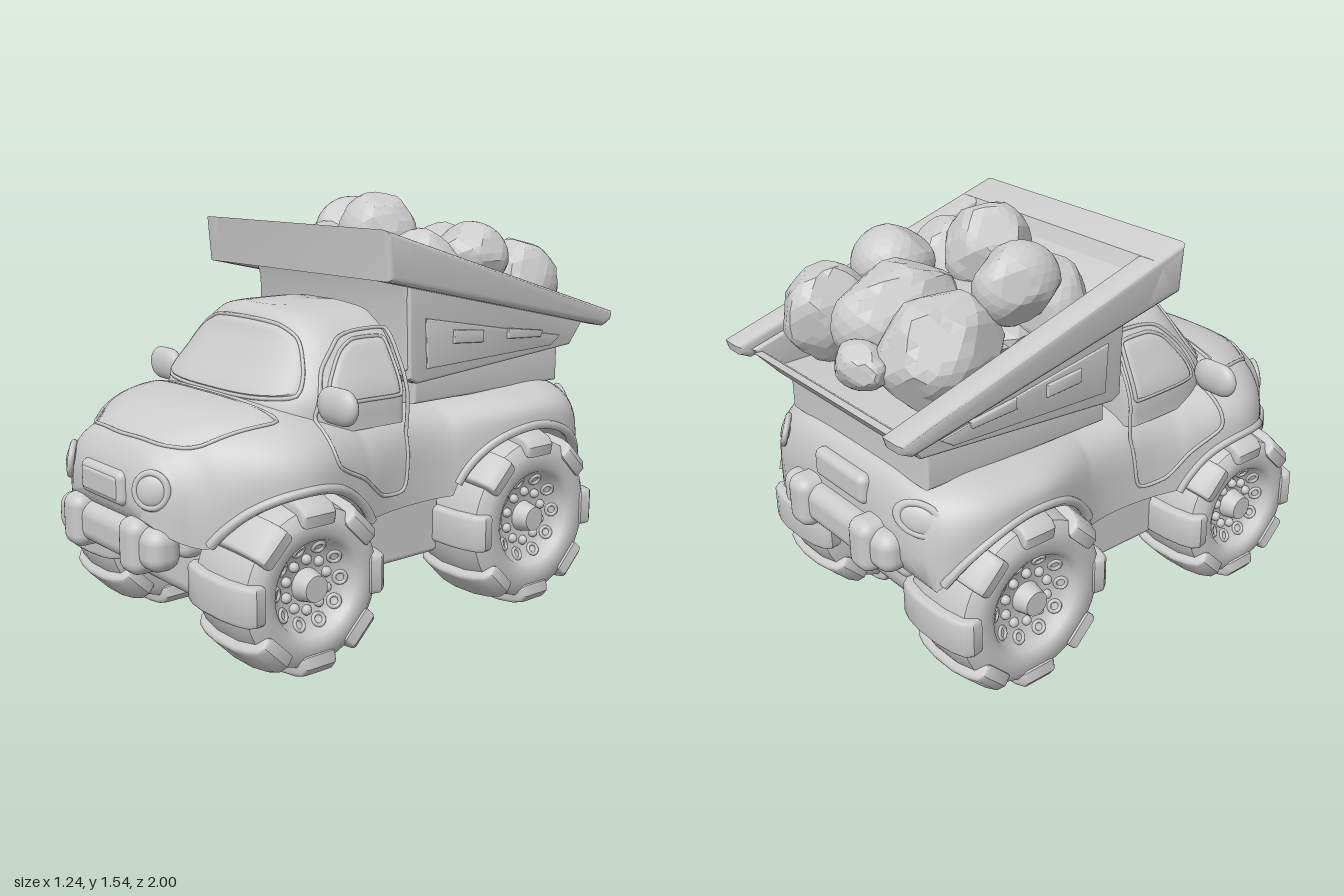
import * as THREE from 'three';
import { toCreasedNormals } from 'three/addons/utils/BufferGeometryUtils.js';
import { RoundedBoxGeometry } from 'three/addons/geometries/RoundedBoxGeometry.js';
import { ParametricGeometry } from 'three/addons/geometries/ParametricGeometry.js';

const grey = new THREE.MeshStandardMaterial({ color: 0xcccccc });
const thin = new THREE.MeshStandardMaterial({ color: 0xcccccc, side: THREE.DoubleSide });
const faceted = new THREE.MeshStandardMaterial({ color: 0xcccccc, flatShading: true });
const V = (x, y, z) => new THREE.Vector3(x, y, z);
const vec2 = pts => pts.map(p => new THREE.Vector2(...p));
const spow = (v, p) => Math.sign(v) * Math.abs(v) ** p;
const rbox = (w, h, d, r) => new RoundedBoxGeometry(w, h, d, 4, r);
const tube = (pts, r, closed) => new THREE.TubeGeometry(new THREE.CatmullRomCurve3(pts, closed), 96, r, 6, closed);
const surface = (nu, nv, f) => toCreasedNormals(new ParametricGeometry((u, v, p) => p.copy(f(u, v)), nu, nv), 0.7);

// Adds a mesh, or a group when there is no geometry
function add(parent, name, geo, x = 0, y = 0, z = 0, mat = grey) {
  const m = geo ? new THREE.Mesh(geo, mat) : new THREE.Group();
  m.name = name;
  m.position.set(x, y, z);
  parent.add(m);
  return m;
}

// Smooth lookup in a table of rows sorted by their first column
function table(rows) {
  const c = new THREE.CubicInterpolant(rows.map(r => r[0]), rows.flatMap(r => r.slice(1)), rows[0].length - 1);
  return k => c.evaluate(k);
}
const WHEELS = [[0.52, 0.316, 0.31], [-0.52, 0.35, 0.34]]; // z, y, radius
// Body stations: z, half width, bottom, top, roundness
const body = table([[-0.885, 0.4, 0.56, 0.72, 0.5], [-0.86, 0.47, 0.5, 0.8, 0.5], [-0.8, 0.53, 0.48, 0.835, 0.52],
  [-0.5, 0.575, 0.48, 0.84, 0.55], [-0.12, 0.48, 0.48, 0.83, 0.42], [0.1, 0.49, 0.48, 0.85, 0.45],
  [0.3, 0.54, 0.48, 0.87, 0.65], [0.55, 0.575, 0.48, 0.89, 0.78], [0.75, 0.46, 0.46, 0.86, 0.72],
  [0.85, 0.37, 0.47, 0.81, 0.66], [0.92, 0.31, 0.51, 0.755, 0.6], [0.955, 0.23, 0.55, 0.69, 0.6]]);
// Cab levels: y, half width, front z, back z
const cab = table([[0.78, 0.46, 0.57, 0.01], [0.9, 0.455, 0.53, 0.01], [1.0, 0.41, 0.455, 0.01], [1.08, 0.36, 0.4, 0.01],
  [1.13, 0.3, 0.375, 0.015], [1.16, 0.23, 0.35, 0.02], [1.175, 0.12, 0.32, 0.04]]);
const CZ = 0.12;

function bodyAt(z) {
  let [w, yb, yt, p] = body(z);
  for (const [wz, wy, r] of WHEELS) yb = Math.max(yb, wy + Math.sqrt(Math.max(0, (r + 0.02) ** 2 - (z - wz) ** 2)));
  return { w, yb, yt, p };
}
const arc = (s, p) => Math.max(0, 1 - Math.min(1, Math.abs(s)) ** (2 / p)) ** (p / 2);
function drape(z, y, lift) {
  const b = bodyAt(z), [w, zf] = cab(y);
  return V(lift + Math.max(b.w * arc(Math.max(0, y - b.yb) / (b.yt - b.yb), b.p),
    y > 0.78 ? w * arc(Math.max(0, z - CZ) / (zf - CZ), 0.6) : 0), y, z);
}
function bonnetPoint(x, z, lift) {
  const b = bodyAt(z);
  return V(x, b.yb + (b.yt - b.yb) * arc(x / b.w, b.p) + lift, z);
}
function cabPoint(t, y, lift = 0) {
  const [w, zf, zb] = cab(y), s = Math.sin(t), q = s > 0 ? 0.6 : 0.25;
  return V((w + lift) * spow(Math.cos(t), q), y, CZ + (s > 0 ? zf - CZ + lift : CZ - zb + lift) * spow(s, q));
}

// Raised panel with a seam, draped on a surface by map(a, b, lift)
function panel(parent, name, pts, map, fill = true) {
  const edge = new THREE.CatmullRomCurve3(pts.map(([a, b]) => V(a, b, 0)), true, 'catmullrom', 0.35).getPoints(64);
  const mid = pts.reduce((s, [a, b]) => s.add(V(a, b, 0)), V(0, 0, 0)).divideScalar(pts.length);
  if (fill) add(parent, name, surface(64, 10, (u, v) => {
    const q = mid.clone().lerp(edge[Math.round(u * 64)], v);
    return map(q.x, q.y, v === 1 ? -0.004 : 0.008);
  }), 0, 0, 0, thin);
  add(parent, name + 'Seam', tube(edge.slice(0, -1).map(e => map(e.x, e.y, 0.001)), 0.007, true));
}

// Bevelled plate from an outline
const plate = (pts, thickness, bevel) => new THREE.ExtrudeGeometry(new THREE.Shape(vec2(pts)), {
  depth: thickness - 2 * bevel, bevelSize: bevel, bevelThickness: bevel, bevelOffset: -bevel, bevelSegments: 3 });
// Plate with a (z, y) outline, spanning x0 to x1
function slab(parent, name, pts, x0, x1, bevel = 0.012) {
  const g = plate(pts.map(([z, y]) => [-z, y]), x1 - x0, bevel).rotateY(Math.PI / 2);
  add(parent, name, toCreasedNormals(g, 0.6), x0 + bevel);
}

// Wheel with its axle along x and the outside at +x
function makeWheel(w, R) {
  const T = R - 0.027, H = R * 0.53;
  const prof = [[0, -0.15], [H, -0.16], [T - 0.05, -0.165], [T - 0.015, -0.14], [T, -0.06], [T, 0.06], [T - 0.015, 0.14],
    [T - 0.05, 0.168], [H + 0.02, 0.168], [H, 0.155], [H - 0.01, 0.13], [H * 0.66, 0.1], [0, 0.1]];
  add(w, 'tyre', toCreasedNormals(new THREE.LatheGeometry(vec2(prof), 48).rotateZ(-Math.PI / 2), 0.7));
  const half = [[0.178, -0.055], [0.185, -0.015], [0.165, 0.012], [0.12, 0.028], [0.05, 0.038]];
  const lug = plate([...half, ...half.map(([x, y]) => [-x, y]).reverse()], 0.135, 0.015).translate(0, 0, -0.0525);
  const around = (name, n, r, off, x, geo) => {
    for (let i = 0; i < n; i++) {
      const a = (i + off) / n * Math.PI * 2;
      add(w, name, geo, x, Math.cos(a) * r, Math.sin(a) * r).rotation.x = a;
    }
  };
  around('treadLug', 8, R - 0.038, 0, 0, toCreasedNormals(lug, 0.7));
  around('wheelBolt', 10, H * 0.53, 0, 0.105, new THREE.SphereGeometry(0.018, 10, 8));
  around('rimHole', 10, H * 0.8, 0.5, 0.117, new THREE.TorusGeometry(0.02, 0.007, 6, 14).rotateY(Math.PI / 2).rotateZ(-0.55));
  add(w, 'hub', new THREE.CylinderGeometry(0.045, 0.06, 0.07, 20).rotateZ(-Math.PI / 2), 0.125);
}

function makeLamp(parent, name, pos, rot, r, stretch) {
  const g = add(parent, name, null, ...pos);
  g.rotation.set(...rot);
  g.scale.x = stretch;
  add(g, 'lampRing', new THREE.TorusGeometry(r, 0.012, 8, 32));
  add(g, 'lampGlass', new THREE.SphereGeometry(r - 0.003, 24, 16)).scale.z = 0.4;
}

function makeBed(bed) {
  slab(bed, 'bedMount', [[-0.06, 0.82], [-0.06, 0.94], [-0.82, 0.98], [-0.82, 0.82]], -0.41, 0.41);
  slab(bed, 'bedFloor', [[0, 1.1], [-0.01, 0.93], [-0.05, 0.9], [-0.86, 0.96], [-0.95, 1.06], [-0.92, 1.06], [-0.84, 0.99],
    [-0.06, 1.0]], -0.42, 0.42, 0.006);
  slab(bed, 'bedFrontWall', [[0.03, 1.31], [0, 1.2], [0, 0.95], [-0.08, 0.95], [-0.08, 1.24], [0.05, 1.38]], -0.43, 0.43);
  slab(bed, 'frontRim', [[0.185, 1.452], [0.055, 1.413], [-0.02, 1.25], [0.17, 1.28]], -0.535, 0.535, 0.028);
  for (const s of [-1, 1]) {
    const side = add(bed, 'bedSide');
    side.scale.x = s;
    slab(side, 'sideWall', [[0, 1.34], [-0.01, 0.92], [-0.05, 0.9], [-0.86, 0.96], [-0.95, 1.07]], 0.41, 0.44);
    slab(side, 'sideRim', [[0.185, 1.452], [0.17, 1.28], [-0.95, 1.035], [-0.99, 1.055], [-1, 1.09]], 0.43, 0.535, 0.022);
    slab(side, 'sidePanel', [[-0.08, 1.13], [-0.09, 0.95], [-0.74, 0.97], [-0.79, 1.005]], 0.43, 0.448, 0.005);
    slab(side, 'sideSlot', [[-0.21, 1.08], [-0.21, 1.03], [-0.36, 1.02], [-0.36, 1.065]], 0.44, 0.458, 0.006);
    slab(side, 'sideSlot', [[-0.49, 1.06], [-0.49, 1.02], [-0.67, 1.01], [-0.68, 1.035]], 0.44, 0.458, 0.006);
  }
}

// Boulders: spheres cut by seeded random planes
let seed = 7;
const rnd = () => (seed = (seed * 16807) % 2147483647) / 2147483647;
function makeRock(parent, [x, y, z, ...radii]) {
  const g = new THREE.IcosahedronGeometry(1, 4), p = g.attributes.position, v = V(0, 0, 0), size = V(...radii);
  const cuts = Array.from({ length: 24 }, () => [V(rnd() - 0.5, rnd() - 0.5, rnd() - 0.5).normalize(), 0.93 + 0.1 * rnd()]);
  for (let i = 0; i < p.count; i++) {
    v.fromBufferAttribute(p, i);
    const r = cuts.reduce((m, [n, d]) => n.dot(v) > 0.1 ? Math.min(m, d / n.dot(v)) : m, 1.1);
    p.setXYZ(i, ...v.multiplyScalar(r).multiply(size));
  }
  add(parent, 'rock', g, x, y, z, faceted);
}

export function createModel() {
  const truck = new THREE.Group();
  truck.name = 'dumpTruck';
  // body shell with wheel arches, and cab
  add(truck, 'body', surface(120, 64, (u, v) => {
    const z = -0.885 + 1.84 * THREE.MathUtils.clamp((u * 120 - 1) / 118, 0, 1), b = bodyAt(z);
    if (u === 0 || u === 1) return V(0, (b.yb + b.yt) / 2, z);
    const t = v * 2 * Math.PI, s = Math.max(0, Math.sin(t));
    return V(-b.w * spow(Math.cos(t), b.p), b.yb + (b.yt - b.yb) * s ** b.p, z);
  }));
  add(truck, 'cab', surface(80, 31, (u, v) => v === 1 ? V(0, 1.178, 0.18)
    : cabPoint(-u * 2 * Math.PI, 0.78 + 0.395 * Math.sin(v * 31 / 60 * Math.PI))));
  panel(truck, 'windscreen', [[0.74, 0.91], [1.1, 0.895], [1.57, 0.89], [2.04, 0.895], [2.4, 0.91], [2.42, 0.98],
    [2.28, 1.08], [2, 1.12], [1.57, 1.13], [1.14, 1.12], [0.86, 1.08], [0.72, 0.98]], cabPoint);
  panel(truck, 'bonnet', [[-0.4, 0.54], [-0.4, 0.62], [-0.33, 0.78], [-0.2, 0.87], [0, 0.89], [0.2, 0.87], [0.33, 0.78],
    [0.4, 0.62], [0.4, 0.54], [0.2, 0.57], [0, 0.58], [-0.2, 0.57]], bonnetPoint);

  // chassis, open tub between the wheels, axle housings
  add(truck, 'chassis', rbox(0.46, 0.36, 1.6, 0.04), 0, 0.55, 0);
  add(truck, 'belly', rbox(0.78, 0.26, 0.44, 0.03), 0, 0.45, 0.01);
  for (const s of [-1, 1]) {
    add(truck, 'bellyRim', rbox(0.05, 0.26, 0.44, 0.02), s * 0.365, 0.37, 0.01);
    add(truck, 'bellyRim', rbox(0.78, 0.26, 0.05, 0.02), 0, 0.37, 0.01 + s * 0.195);
  }
  add(truck, 'frontAxleHousing', rbox(0.5, 0.3, 0.44, 0.06), 0, 0.35, 0.52);
  add(truck, 'rearAxleHousing', rbox(0.5, 0.32, 0.5, 0.11), 0, 0.39, -0.52);

  // parts mirrored left and right
  for (const s of [-1, 1]) {
    const side = add(truck, s > 0 ? 'leftSide' : 'rightSide');
    side.scale.x = s;
    for (const [z, y, R] of WHEELS) {
      makeWheel(add(side, z > 0 ? 'frontWheel' : 'rearWheel', null, 0.425, y, z), R);
      add(side, 'archLip', tube(Array.from({ length: 25 }, (_, k) => {
        const a = 0.5 + (Math.PI - 1) * k / 24, lz = z + (R + 0.02) * Math.cos(a);
        return V(bodyAt(lz).w - 0.004, y + (R + 0.02) * Math.sin(a), lz);
      }), 0.018, false));
    }
    panel(side, 'sideWindow', [[0.35, 0.89], [0.33, 0.95], [0.26, 1.04], [0.19, 1.075], [0.07, 1.075], [0.05, 1.05],
      [0.045, 0.9], [0.06, 0.88], [0.2, 0.88], [0.33, 0.88]], drape);
    panel(side, 'door', [[0.38, 0.9], [0.34, 0.99], [0.25, 1.08], [0.17, 1.1], [0.04, 1.1], [0.02, 1.07], [0.02, 0.8],
      [0.04, 0.58], [0.07, 0.54], [0.17, 0.55], [0.27, 0.63], [0.4, 0.7], [0.41, 0.8]], drape, false);
    add(side, 'mirror', new THREE.CapsuleGeometry(0.062, 0.065, 8, 24).rotateZ(Math.PI / 2), 0.525, 0.892, 0.385).scale.z = 0.55;
    makeLamp(side, 'headlight', [0.265, 0.65, 0.935], [-0.15, 0.6, 0], 0.056, 1);
    makeLamp(side, 'tailLight', [0.41, 0.735, -0.858], [0.3, Math.PI - 0.6, 0.1], 0.05, 1.5);
  }

  // grilles and bumpers
  add(truck, 'grilleFrame', rbox(0.275, 0.12, 0.06, 0.028), 0, 0.628, 0.948);
  add(truck, 'grille', rbox(0.23, 0.08, 0.03, 0.012), 0, 0.628, 0.968);
  add(truck, 'rearPanel', rbox(0.3, 0.11, 0.06, 0.028), 0, 0.73, -0.875);
  for (const [z, y] of [[0.915, 0.455], [-0.885, 0.57]]) {
    const bumper = add(truck, z > 0 ? 'frontBumper' : 'rearBumper', null, 0, y, z);
    add(bumper, 'bumperBar', rbox(0.66, 0.145, 0.12, 0.05));
    for (const s of [-1, 1]) add(bumper, 'bumperGuard', rbox(0.12, 0.19, 0.13, 0.045), s * 0.19, 0, Math.sign(z) * 0.02);
  }

  // tipper and its load
  makeBed(add(truck, 'dumpBed'));
  const load = add(truck, 'rocks');
  for (const r of [[0.02, 1.38, -0.23, 0.15, 0.16, 0.15], [-0.27, 1.25, -0.21, 0.15, 0.165, 0.145],
    [0.28, 1.25, -0.21, 0.14, 0.165, 0.145], [-0.31, 1.38, -0.37, 0.115, 0.13, 0.145], [0.29, 1.31, -0.44, 0.13, 0.125, 0.14],
    [0.01, 1.24, -0.61, 0.16, 0.175, 0.23], [-0.26, 1.2, -0.64, 0.155, 0.185, 0.21], [0.28, 1.2, -0.72, 0.135, 0.165, 0.16],
    [-0.15, 1.18, -0.87, 0.11, 0.075, 0.075], [0, 1.18, -0.4, 0.33, 0.12, 0.2]]) makeRock(load, r);
  return truck;
}
